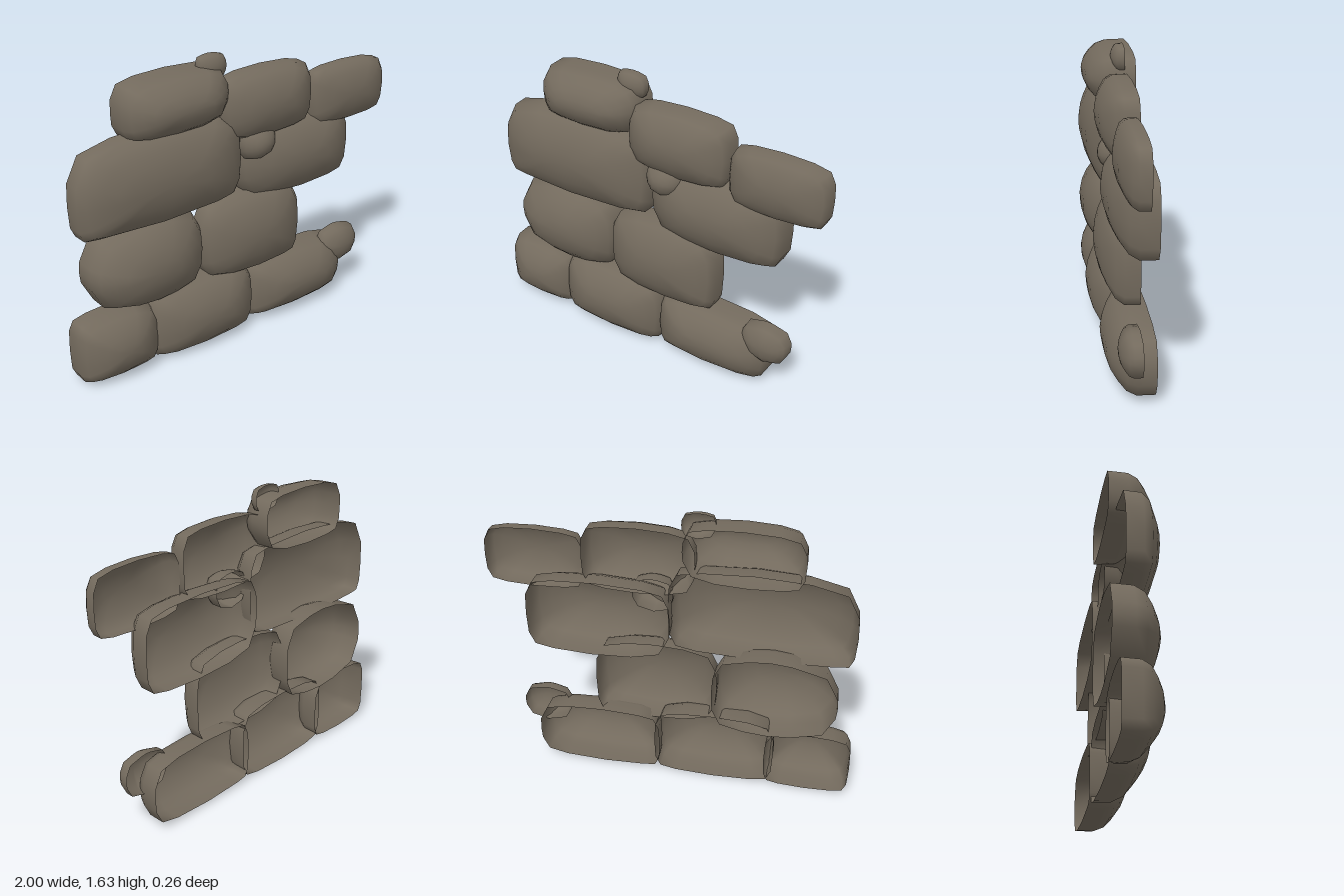
import * as THREE from 'three';

// Rings from the open back rim to the domed face: [inset, depth fraction]
const RINGS = [[0, 0], [0.01, 0.42], [0.1, 0.63], [0.29, 0.79], [0.5, 0.91], [0.75, 0.98]];

// Block outline with slightly bowed edges and a rounded cut at each corner
// (cuts run bottom left, bottom right, top right, top left)
function outlineOf(x0, x1, y0, y1, cuts) {
  const bowX = 0.012 * (y1 - y0), bowY = 0.014 * (x1 - x0);
  const corners = cuts.map((c, k) => {
    const right = k === 1 || k === 2, top = k > 1;
    const at = (dx, dy) => new THREE.Vector2(right ? x1 - dx : x0 + dx, top ? y1 - dy : y0 + dy);
    const points = [at(bowX, 1.1 * c), at(0.42 * c, 0.34 * c), at(1.5 * c, bowY)];
    return k % 2 ? points.reverse() : points;
  });
  return corners.flatMap((points, k) => {
    const middle = points[2].clone().lerp(corners[(k + 1) % 4][0], 0.5);
    if (k % 2) middle.x = k === 1 ? x1 : x0;
    else middle.y = k === 0 ? y0 : y1;
    return [...points, middle];
  });
}

// Hollow shell with a straight wall and a rounded face
function stoneGeometry([x0, x1], [y0, y1], [back, front], cuts) {
  const outline = outlineOf(x0, x1, y0, y1, cuts);
  const n = outline.length;
  const cx = (x0 + x1) / 2, cy = (y0 + y1) / 2;
  const halfX = (x1 - x0) / 2, halfY = (y1 - y0) / 2;
  const short = Math.min(halfX, halfY);
  const positions = [], index = [];

  RINGS.forEach(([inset, t], r) => {
    // Long stones keep a longer flat face, and inner rings turn elliptical
    const sx = 1 - inset * Math.sqrt(short / halfX);
    const sy = 1 - inset * Math.sqrt(short / halfY);
    outline.forEach(({ x, y }, i) => {
      const round = Math.hypot((x - cx) / halfX, (y - cy) / halfY) ** -inset;
      positions.push(cx + (x - cx) * sx * round, cy + (y - cy) * sy * round, back + (front - back) * t);
      if (r === 0) return;
      const j = (i + 1) % n, a = (r - 1) * n, b = r * n;
      index.push(a + i, a + j, b + j, a + i, b + j, b + i);
    });
  });

  // Close the face at its crown
  const last = (RINGS.length - 1) * n;
  positions.push(cx, cy, front);
  for (let i = 0; i < n; i++) index.push(last + i, last + (i + 1) % n, last + n);

  const geometry = new THREE.BufferGeometry();
  geometry.setAttribute('position', new THREE.Float32BufferAttribute(positions, 3));
  geometry.setIndex(index);
  geometry.computeVertexNormals();
  return geometry;
}

export function createModel() {
  const group = new THREE.Group();
  group.name = 'stoneWall';
  const material = new THREE.MeshStandardMaterial({ color: 0x736a5d, side: THREE.DoubleSide });
  material.name = 'stone';

  // Spans in x, y and z, then the corner cuts
  const addStone = (name, x, y, z, cuts) => {
    const mesh = new THREE.Mesh(stoneGeometry(x, y, z, cuts), material);
    mesh.name = name;
    group.add(mesh);
  };

  // Bottom row
  addStone('bottomLeftStone', [-1, -0.53], [0.015, 0.39], [-0.11, 0.11], [0.06, 0.06, 0.09, 0.07]);
  addStone('bottomMiddleStone', [-0.58, 0.09], [0.005, 0.43], [-0.1, 0.13], [0.08, 0.08, 0.1, 0.1]);
  addStone('bottomRightStone', [0.06, 0.755], [0.02, 0.39], [-0.11, 0.12], [0.06, 0.1, 0.11, 0.08]);

  // Second row
  addStone('secondRowLeftStone', [-0.9, -0.23], [0.375, 0.86], [-0.135, 0.13], [0.16, 0.12, 0.13, 0.17]);
  addStone('secondRowRightStone', [-0.25, 0.415], [0.365, 0.85], [-0.08, 0.12], [0.12, 0.07, 0.12, 0.12]);

  // Third row
  addStone('thirdRowLeftStone', [-0.96, 0.015], [0.83, 1.33], [-0.08, 0.13], [0.07, 0.1, 0.11, 0.17]);
  addStone('thirdRowRightStone', [0, 0.775], [0.765, 1.21], [-0.11, 0.11], [0.14, 0.09, 0.1, 0.1]);

  // Top row
  addStone('topLeftStone', [-0.675, -0.065], [1.28, 1.59], [-0.12, 0.13], [0.07, 0.11, 0.08, 0.09]);
  addStone('topMiddleStone', [-0.12, 0.47], [1.15, 1.52], [-0.06, 0.12], [0.1, 0.08, 0.08, 0.09]);
  addStone('topRightStone', [0.47, 1], [1.11, 1.445], [-0.03, 0.1], [0.07, 0.07, 0.08, 0.07]);

  // Small loose stones
  addStone('rightPebble', [0.59, 0.865], [0.2, 0.43], [-0.025, 0.08], [0.09, 0.08, 0.07, 0.07]);
  addStone('topPebble', [-0.22, -0.05], [1.5, 1.635], [-0.06, 0.005], [0.05, 0.04, 0.04, 0.03]);
  addStone('middlePebble', [0, 0.215], [1.03, 1.22], [-0.03, 0.105], [0.06, 0.07, 0.05, 0.05]);
  return group;
}
